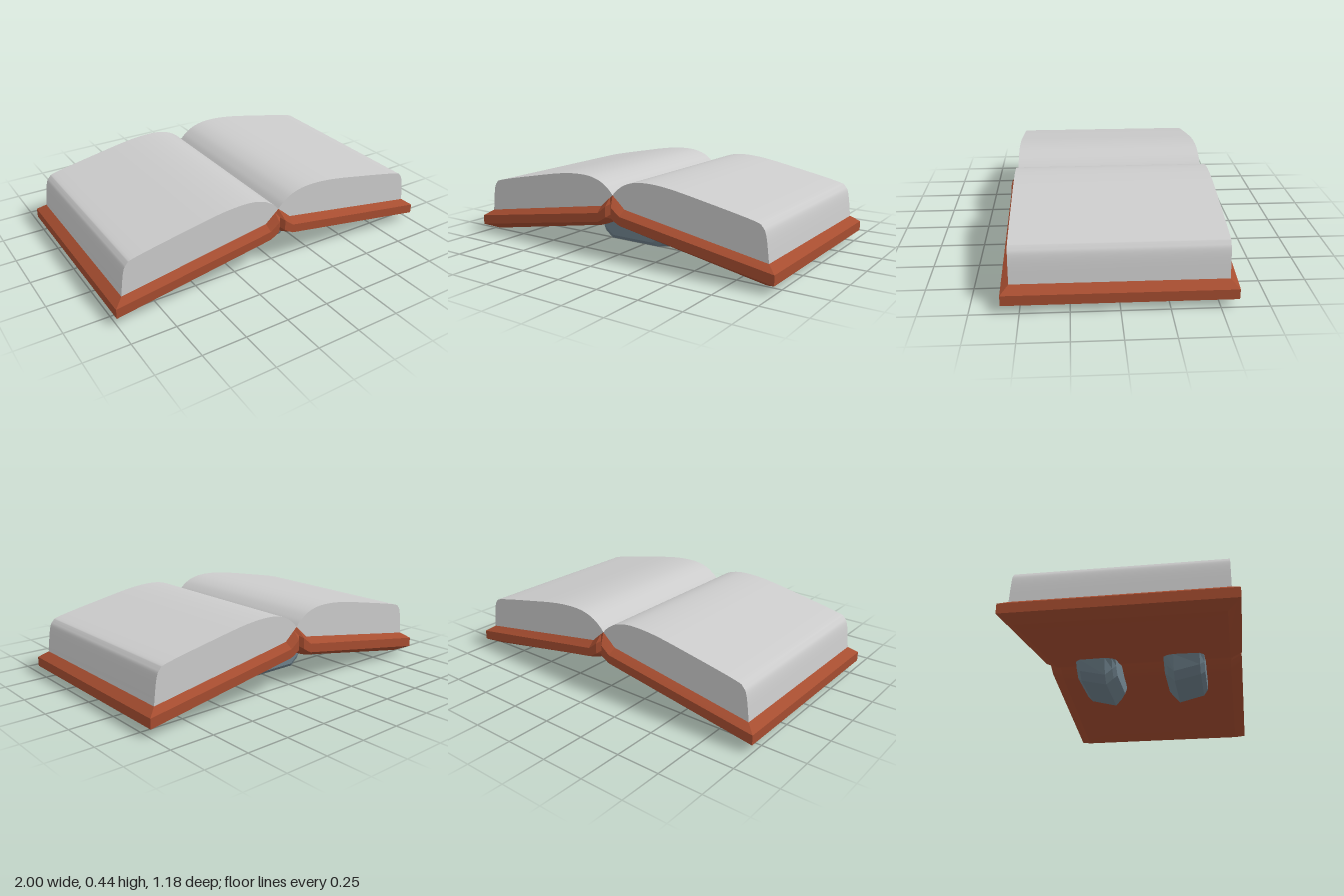
import * as THREE from 'three';
import { toCreasedNormals } from 'three/addons/utils/BufferGeometryUtils.js';

// Skin over closed rings (counter-clockwise seen from the last ring), capped with cross strips
function loft(rings) {
  const n = rings[0].length, index = [];
  const quad = (a, b, c, d) => index.push(a, b, c, a, c, d);
  for (let i = 0; i < rings.length - 1; i++)
    for (let j = 0; j < n; j++) {
      const k = (j + 1) % n;
      quad(i * n + j, i * n + k, (i + 1) * n + k, (i + 1) * n + j);
    }
  const end = (rings.length - 1) * n;
  for (let k = 0; k < n / 2 - 1; k++) {
    quad(end + k, end + k + 1, end + n - 2 - k, end + n - 1 - k);
    quad(n - 1 - k, n - 2 - k, k + 1, k);
  }
  const g = new THREE.BufferGeometry();
  g.setAttribute('position', new THREE.Float32BufferAttribute(rings.flat(2), 3));
  g.setIndex(index);
  return g;
}

function part(name, geometry, color, crease) {
  const mesh = new THREE.Mesh(toCreasedNormals(geometry, crease), new THREE.MeshStandardMaterial({ color }));
  mesh.name = name;
  return mesh;
}

// Open cover: bevelled layers from top to underside, stations from spine to outer edge
function coverGeometry() {
  const layers = [
    { z: 0.55, x: [0, 0.02, 0.05, 0.08, 0.95], y: [0.355, 0.338, 0.312, 0.285, 0.14] },
    { z: 0.592, x: [0, 0.02, 0.05, 0.075, 1], y: [0.31, 0.296, 0.272, 0.253, 0.105] },
    { z: 0.592, x: [0, 0.02, 0.05, 0.075, 1], y: [0.25, 0.235, 0.216, 0.203, 0.05] },
    { z: 0.525, x: [0, 0.02, 0.05, 0.1, 0.93], y: [0.213, 0.2, 0.184, 0.167, 0.02] },
  ];
  const rings = [];
  for (let s = -4; s <= 4; s++) {
    const i = Math.abs(s);
    const side = layers.map((l) => [Math.sign(s) * l.x[i], l.y[i], i ? l.z : Math.min(l.z, 0.57)]);
    rings.push([...side, ...side.map(([x, y, z]) => [x, y, -z]).reverse()]);
  }
  return loft(rings);
}

// Both page blocks as one symmetric profile with a gutter in the middle
function pagesGeometry() {
  const top = new THREE.SplineCurve([
    [0, 0.355], [0.035, 0.39], [0.1, 0.428], [0.2, 0.447], [0.36, 0.438], [0.6, 0.395],
    [0.86, 0.342], [0.91, 0.318], [0.932, 0.27], [0.95, 0.138],
  ].map(([x, y]) => new THREE.Vector2(x, y))).getPoints(45);
  const half = [...top, new THREE.Vector2(0.08, 0.28)];
  const mirrored = half.slice(1).reverse().map((p) => new THREE.Vector2(-p.x, p.y));
  const shape = new THREE.Shape([...mirrored, ...half, new THREE.Vector2(0, 0.34)]);
  return new THREE.ExtrudeGeometry(shape, { depth: 1.1, bevelEnabled: false }).translate(0, 0, -0.55);
}

// Wedge-bottomed foot; dir is the end of the spine it points to
function footGeometry(dir) {
  // z, bottom height, narrowing of the outline
  const sections = [[0.14, 0.07, 0.03], [0.16, 0.045, 0.012], [0.2, 0.004, 0], [0.35, 0.04, 0.005], [0.375, 0.065, 0.03]];
  const rings = sections.map(([z, b, inset]) => {
    const left = [[-0.05, 0.195], [-0.245 + inset, 0.14], [-0.22 + inset, b + 0.04], [-0.17 + inset, b]];
    return [...left, ...left.map(([x, y]) => [-x, y]).reverse()].map(([x, y]) => [x, y, dir * z]);
  });
  return loft(dir > 0 ? rings : rings.reverse());
}

export function createModel() {
  const model = new THREE.Group();
  model.name = 'openBook';
  model.add(part('cover', coverGeometry(), 0xa64d30, 0.36));
  model.add(part('pages', pagesGeometry(), 0xcccccc, 0.6));
  model.add(part('frontFoot', footGeometry(1), 0x6e818c, 0.15));
  model.add(part('backFoot', footGeometry(-1), 0x6e818c, 0.15));
  return model;
}
